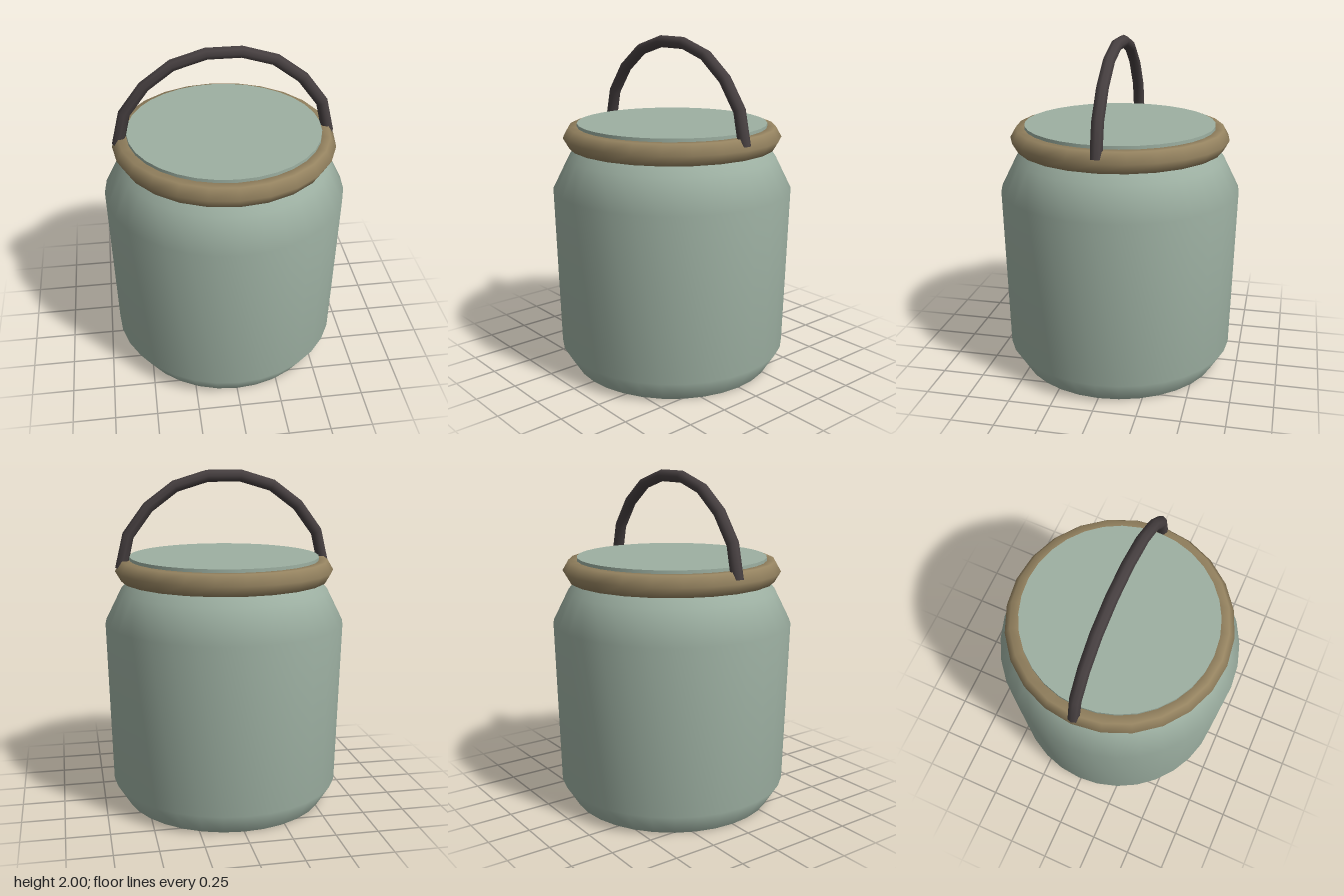
import * as THREE from 'three';

const v2 = ([x, y]) => new THREE.Vector2(x, y);

function addMesh(parent, name, geometry, material) {
  const mesh = new THREE.Mesh(geometry, material);
  mesh.name = name;
  parent.add(mesh);
  return mesh;
}

export function createModel() {
  const model = new THREE.Group();
  model.name = 'lidded jar';

  const glaze = new THREE.MeshStandardMaterial({ color: 0x9db0a2 });
  glaze.name = 'sage glaze';
  const brass = new THREE.MeshStandardMaterial({ color: 0x958360 });
  brass.name = 'tan collar';
  const iron = new THREE.MeshStandardMaterial({ color: 0x463f40 });
  iron.name = 'dark handle';

  // Jar wall: chamfered foot, slightly flared side, sloping shoulder and neck
  const profile = [[0.61, 0], [0.69, 0.13], [0.715, 1.11], [0.62, 1.3], [0.56, 1.37]].map(v2);
  addMesh(model, 'body', new THREE.LatheGeometry(profile, 32), glaze);

  // Flat base
  const base = addMesh(model, 'base', new THREE.CircleGeometry(0.61, 32), glaze);
  base.rotation.x = Math.PI / 2;

  // Lid standing just proud of the collar
  const lid = addMesh(model, 'lid', new THREE.CylinderGeometry(0.565, 0.565, 0.14, 32), glaze);
  lid.position.y = 1.43;

  // Six-sided collar ring around the neck
  const collar = addMesh(model, 'collar', new THREE.TorusGeometry(0.58, 0.07, 6, 24), brass);
  collar.rotation.x = Math.PI / 2;
  collar.position.y = 1.42;

  // Bail handle: nine straight segments arching from side to side
  const half = [[0.1, 1.965], [0.295, 1.905], [0.458, 1.78], [0.577, 1.61], [0.614, 1.435]];
  const points = [
    ...half.map(([x, y]) => new THREE.Vector3(-x, y, 0)).reverse(),
    ...half.map(([x, y]) => new THREE.Vector3(x, y, 0)),
  ];
  const path = new THREE.CatmullRomCurve3(points);
  const handle = new THREE.Group();
  handle.name = 'handle';
  model.add(handle);
  addMesh(handle, 'handleBar', new THREE.TubeGeometry(path, 9, 0.035, 8), iron);

  // Caps closing the two handle ends
  for (const t of [0, 1]) {
    const outward = path.getTangentAt(t).multiplyScalar(t ? 1 : -1);
    const cap = addMesh(handle, t ? 'leftHandleEnd' : 'rightHandleEnd', new THREE.CircleGeometry(0.035, 8), iron);
    cap.position.copy(path.getPointAt(t));
    cap.quaternion.setFromUnitVectors(new THREE.Vector3(0, 0, 1), outward);
  }

  return model;
}
